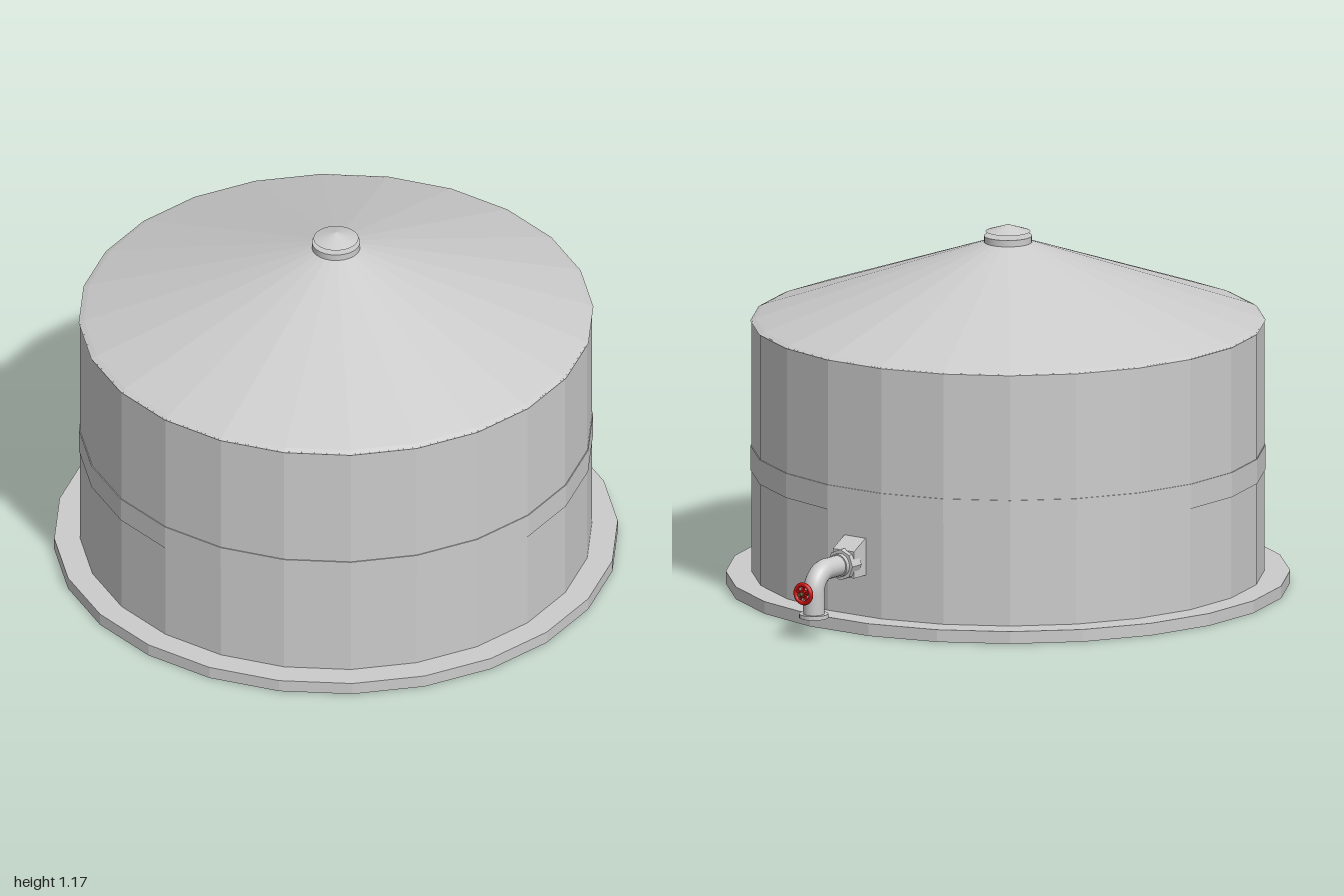
import * as THREE from 'three';

const SIDES = 24;

export function createModel() {
  const model = new THREE.Group();
  const flat = new THREE.MeshStandardMaterial({ color: 0xcccccc, flatShading: true });
  const smooth = new THREE.MeshStandardMaterial({ color: 0xcccccc });
  const red = new THREE.MeshStandardMaterial({ color: 0xcc1111 });
  const dark = new THREE.MeshStandardMaterial({ color: 0x665533 });

  const add = (parent, name, geometry, material) => {
    const mesh = new THREE.Mesh(geometry, material);
    mesh.name = name;
    parent.add(mesh);
    return mesh;
  };
  // Upright ring, drum or cone between two heights
  const drum = (parent, name, rTop, rBottom, y0, y1, sides = SIDES, material = flat, open = false) => {
    const mesh = add(parent, name, new THREE.CylinderGeometry(rTop, rBottom, y1 - y0, sides, 1, open), material);
    mesh.position.y = (y0 + y1) / 2;
    return mesh;
  };

  // Tank body, slightly turned about its axis
  const tank = new THREE.Group();
  tank.name = 'tank';
  tank.position.z = 0.1;
  tank.rotation.y = 0.02;
  model.add(tank);
  drum(tank, 'basePlate', 0.9, 0.9, 0, 0.04);
  drum(tank, 'wall', 0.818, 0.818, 0.04, 0.86);
  drum(tank, 'wallBand', 0.821, 0.821, 0.37, 0.45);
  drum(tank, 'roofRim', 0.805, 0.822, 0.858, 0.866);
  drum(tank, 'roof', 0.06, 0.805, 0.866, 1.12);
  drum(tank, 'ventCollar', 0.077, 0.077, 1.1, 1.135, 24, smooth);
  drum(tank, 'ventCap', 0, 0.072, 1.149, 1.172, 24, smooth);

  // Outlet: built along local -z from the tank axis
  const outlet = new THREE.Group();
  outlet.name = 'outlet';
  outlet.position.z = 0.1;
  outlet.rotation.y = 0.155;
  model.add(outlet);

  // Housing with a sloping top, profile in (distance, height)
  const profile = [[0.79, 0.175], [0.875, 0.175], [0.875, 0.262], [0.815, 0.295], [0.79, 0.295]];
  const housing = new THREE.ExtrudeGeometry(
    new THREE.Shape(profile.map(([d, y]) => new THREE.Vector2(d, y))),
    { depth: 0.084, bevelEnabled: false }
  );
  housing.translate(0, 0, -0.042).rotateY(Math.PI / 2);
  add(outlet, 'outletHousing', housing, flat);

  // Short discs lying along the outlet direction
  const disc = (name, radius, d0, d1, y, sides, material) => {
    const geometry = new THREE.CylinderGeometry(radius, radius, d1 - d0, sides).rotateX(Math.PI / 2);
    const mesh = add(outlet, name, geometry, material);
    mesh.position.set(0, y, -(d0 + d1) / 2);
    return mesh;
  };
  disc('hexNut', 0.05, 0.845, 0.893, 0.217, 8, flat);
  disc('pipeCollar', 0.038, 0.893, 0.908, 0.217, 20, smooth);

  // Pipe with a downward elbow
  const path = new THREE.CurvePath();
  const v = (d, y) => new THREE.Vector3(0, y, -d);
  path.add(new THREE.LineCurve3(v(0.88, 0.217), v(0.965, 0.217)));
  path.add(new THREE.CubicBezierCurve3(v(0.965, 0.217), v(1.003, 0.217), v(1.033, 0.187), v(1.033, 0.149)));
  path.add(new THREE.LineCurve3(v(1.033, 0.149), v(1.033, 0.072)));
  add(outlet, 'elbowPipe', new THREE.TubeGeometry(path, 40, 0.034, 18, false),
    new THREE.MeshStandardMaterial({ color: 0xcccccc, side: THREE.DoubleSide }));

  // Lip around the open spout
  const lip = new THREE.LatheGeometry(
    [[0.034, 0.07], [0.047, 0.07], [0.047, 0.083], [0.034, 0.083]].map(([r, y]) => new THREE.Vector2(r, y)), 20);
  const lipMesh = add(outlet, 'spoutLip', lip,
    new THREE.MeshStandardMaterial({ color: 0xcccccc, flatShading: true, side: THREE.DoubleSide }));
  lipMesh.position.z = -1.033;

  // Stem and red hand wheel
  disc('valveStem', 0.007, 1.04, 1.112, 0.157, 10, dark);
  const wheel = new THREE.Group();
  wheel.name = 'handWheel';
  wheel.position.set(0, 0.157, -1.088);
  outlet.add(wheel);
  add(wheel, 'wheelRim', new THREE.TorusGeometry(0.03, 0.0075, 8, 24), red);
  add(wheel, 'wheelHub', new THREE.CylinderGeometry(0.012, 0.012, 0.018, 12).rotateX(Math.PI / 2), red);
  for (let i = 0; i < 5; i++) {
    const spoke = new THREE.BoxGeometry(0.008, 0.03, 0.008).translate(0, 0.015, 0);
    add(wheel, 'wheelSpoke', spoke, red).rotation.z = (i / 5) * Math.PI * 2;
  }

  return model;
}
